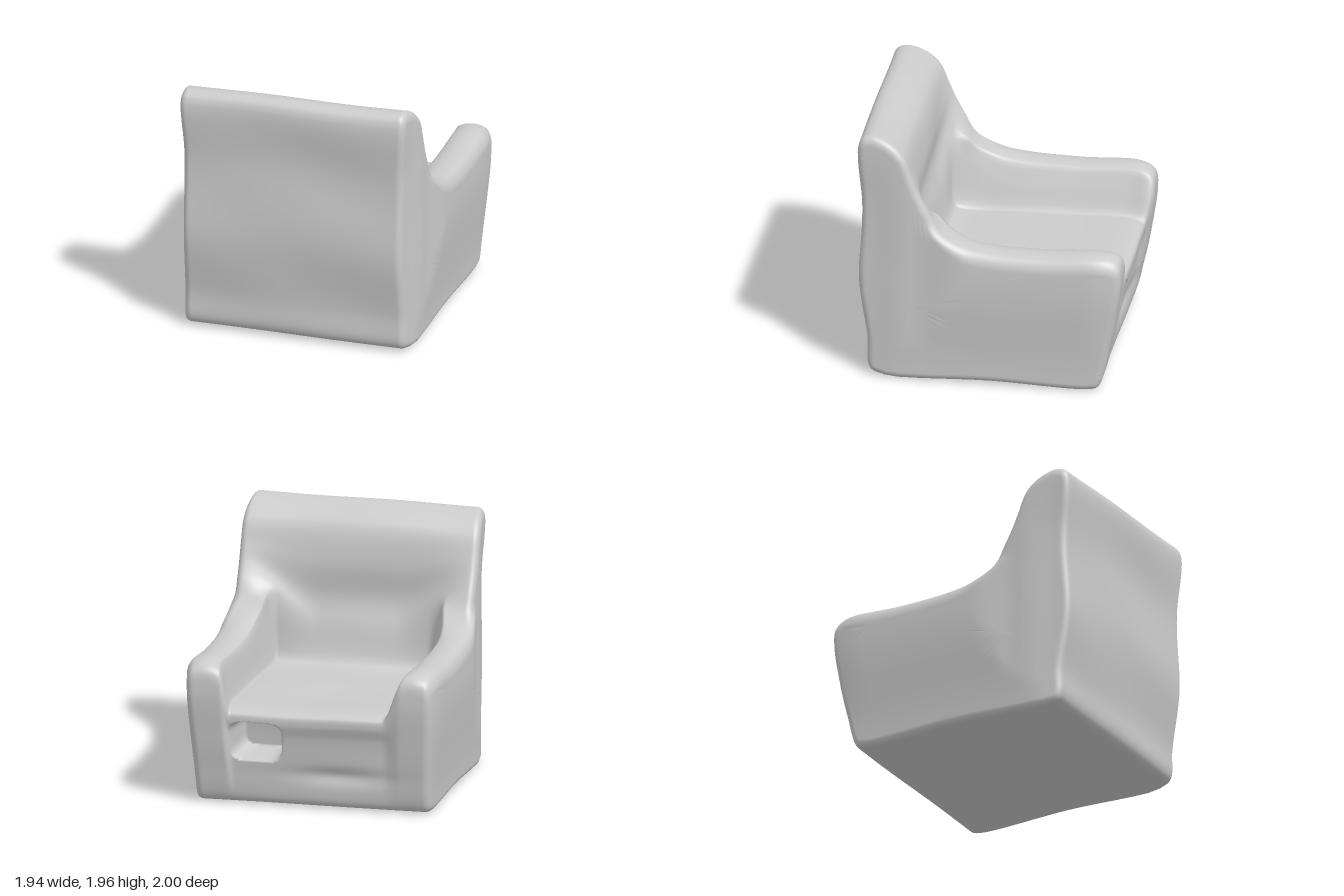
import * as THREE from 'three';

const { smoothstep, lerp } = THREE.MathUtils;

// Side outlines as [z, y], from the seat front's foot, over the top and down the back.
const back = [[0.65, 1.8], [0.76, 1.9], [0.89, 1.945], [0.965, 1.925], [1, 1.85], [0.97, 1.4],
  [0.995, 0.8], [0.935, 0.3], [0.925, 0.07], [0.87, 0.02], [0, 0.02], [-0.77, 0.01]];
const armKeys = [[-0.82, 0.04], [-0.89, 0.3], [-0.945, 0.55], [-0.99, 0.88], [-0.97, 1.05],
  [-0.88, 1.1], [-0.4, 1.09], [0, 1.105], [0.22, 1.145], [0.37, 1.22], [0.47, 1.4], [0.53, 1.52],
  [0.58, 1.64], ...back];
const seatKeys = [[-0.82, 0.04], [-0.865, 0.3], [-0.905, 0.55], [-0.94, 0.66], [-0.935, 0.72],
  [-0.87, 0.75], [-0.4, 0.75], [0, 0.75], [0.42, 0.75], [0.49, 0.78], [0.56, 1.05], [0.61, 1.25],
  [0.595, 1.52], ...back];

const FRONT_SEGMENTS = 4;

// Sample a closed outline, densely on the front where the pocket sits.
function sample(keys) {
  const curve = new THREE.CatmullRomCurve3(keys.map(([z, y]) => new THREE.Vector3(0, y, z)), true);
  const points = [];
  keys.forEach((_, k) => {
    const steps = k < FRONT_SEGMENTS ? 20 : 7;
    for (let s = 0; s < steps; s++) points.push(curve.getPoint((k + s / steps) / keys.length));
  });
  return points;
}

// Cross-sections along x: shrinking caps, rounded shoulders, then the main span.
function makeStations() {
  const X = 0.96, r = 0.055, half = [];
  for (let i = 0; i < 14; i++) half.push({ x: X, inset: r, scale: i / 14 });
  for (let i = 0; i <= 8; i++) {
    const a = (1 - i / 8) * Math.PI / 2;
    half.push({ x: X - r + r * Math.sin(a), inset: r * (1 - Math.cos(a)), scale: 1 });
  }
  const span = [], n = 140;
  for (let i = 1; i < n; i++) span.push({ x: lerp(-(X - r), X - r, i / n), inset: 0, scale: 1 });
  const mirrored = half.map(s => ({ ...s, x: -s.x }));
  return [...mirrored, ...span, ...half.reverse()];
}

// Half width: flared at the arms, drawn in at the base, the backrest and the upright corners.
function halfWidth(y, z) {
  const base = lerp(0.9, 0.97, smoothstep(y, 0, 0.9));
  const corner = lerp(0.855, 0.88, smoothstep(y, 1.4, 1.85));
  const rear = lerp(0.915, corner, smoothstep(z, 0.6, 1));
  const upper = Math.max(smoothstep(z, 0.2, 0.6), smoothstep(y, 1.08, 1.3));
  return Math.min(base, lerp(0.97, rear, upper)) - 0.035 * smoothstep(-z, 0.78, 1);
}

function makeBody() {
  const arm = sample(armKeys), seat = sample(seatKeys), n = arm.length;
  const frontCount = FRONT_SEGMENTS * 20;
  const hub = { y: 0.62, z: 0.55 };
  const positions = [], index = [];
  const stations = makeStations();

  stations.forEach(({ x, inset, scale }, j) => {
    // Steep inner arm walls below, a wide bowl across the backrest above.
    const wall = x > 0 ? smoothstep(x, 0.635, 0.7) : smoothstep(-x, 0.57, 0.73);
    const bowl = smoothstep(Math.abs(x), 0.3, 0.95);
    const ring = arm.map((p, i) =>
      seat[i].clone().lerp(p, lerp(wall, bowl, smoothstep(seat[i].y, 0.8, 1.15))));
    // Rounded crown along the arm tops.
    const crown = 0.045 * Math.min(1, ((Math.abs(x) - 0.82) / 0.14) ** 2) * wall;
    ring.forEach((p, i) => {
      const t = ring[(i + 2) % n].clone().sub(ring[(i + n - 2) % n]).normalize();
      // Upward faces get a rounder shoulder.
      let y = p.y - t.z * inset * (t.z > 0 ? 1.4 : 1), z = p.z + t.y * inset;
      y -= crown * smoothstep(p.y, 0.8, 1.05) * (1 - smoothstep(p.z, 0.1, 0.4));
      y = lerp(hub.y, y, scale);
      z = lerp(hub.z, z, scale);
      const px = x * halfWidth(y, z) / 0.96;
      if (i < frontCount && scale === 1) {
        // Pocket and a shallow crease in the seat front.
        const d = (Math.abs(px - 0.42) / 0.19) ** 4 + (Math.abs(y - 0.51) / 0.15) ** 4;
        z += 0.32 * (1 - smoothstep(d, 0.5, 1.2));
        z += 0.025 * Math.exp(-(((px + 0.2) / 0.33) ** 2) - ((y - 0.26) / 0.06) ** 2);
      }
      // Slight hand-made unevenness.
      y += 0.012 * px * smoothstep(y, 1.5, 1.9) + 0.004 * Math.sin(5 * px + 3 * z) * smoothstep(y, 0.1, 0.6);
      z += 0.004 * Math.sin(7 * y + 4 * px);
      positions.push(px, y, z);
      if (j + 1 < stations.length) {
        const a = j * n + i, b = j * n + (i + 1) % n;
        index.push(a, b, a + n, b, b + n, a + n);
      }
    });
  });

  const geometry = new THREE.BufferGeometry();
  geometry.setAttribute('position', new THREE.Float32BufferAttribute(positions, 3));
  geometry.setIndex(index);
  geometry.computeVertexNormals();
  return geometry;
}

export function createModel() {
  const group = new THREE.Group();
  group.name = 'armchair';
  const body = new THREE.Mesh(makeBody(), new THREE.MeshStandardMaterial({ color: 0xcccccc }));
  body.name = 'upholsteredBody';
  group.add(body);
  return group;
}
